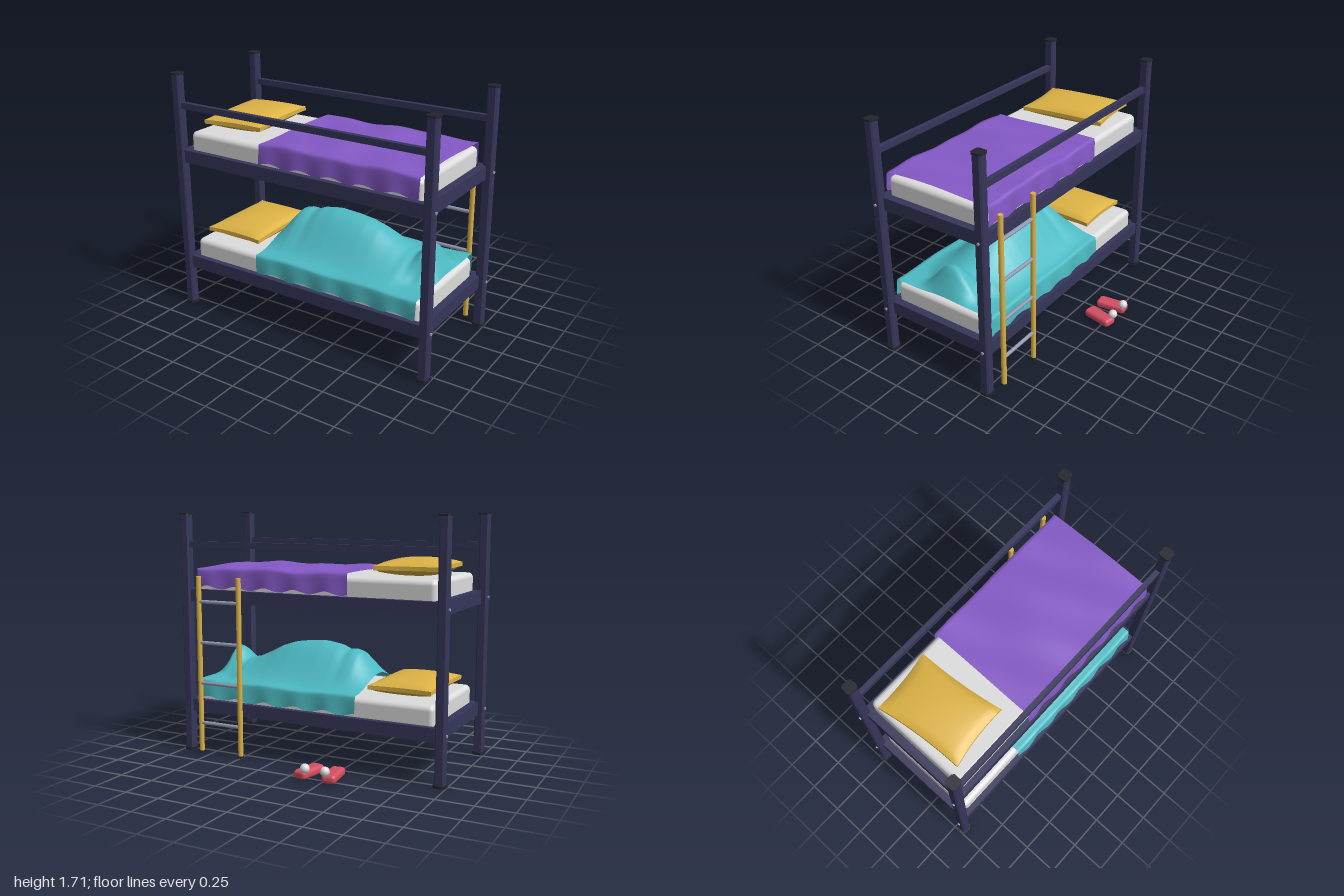
import * as THREE from 'three';
import { RoundedBoxGeometry } from 'three/addons/geometries/RoundedBoxGeometry.js';

const mat = (name, color, side = THREE.FrontSide) => {
  const m = new THREE.MeshStandardMaterial({ color, side });
  m.name = name;
  return m;
};

// z of the bed's middle and half the distance between its posts
const MID = 0.138, HALF = 0.413;

export function createModel() {
  const root = new THREE.Group();
  root.name = 'bunkBed';
  const M = {
    frame: mat('navy frame', 0x36365a),
    cap: mat('dark cap', 0x24242e),
    linen: mat('white linen', 0xdcdcdc),
    gold: mat('golden yellow', 0xdcb245),
    purple: mat('purple blanket', 0x8459c6, THREE.DoubleSide),
    teal: mat('teal blanket', 0x4dbac3, THREE.DoubleSide),
    metal: mat('grey metal', 0x9498b0),
    red: mat('red slipper', 0xd64f62),
  };
  const add = (name, geo, material, x, y, z, parent = root) => {
    const mesh = new THREE.Mesh(geo, material);
    mesh.name = name;
    mesh.position.set(x, y, z);
    parent.add(mesh);
    return mesh;
  };
  const box = (name, w, h, d, material, x, y, z) =>
    add(name, new THREE.BoxGeometry(w, h, d), material, x, y, z);

  // Upright square prism with chamfered corners, standing on its origin
  const chamfered = (w, h, c) => {
    const a = w / 2, b = a - c;
    const pts = [[a, -b], [a, b], [b, a], [-b, a], [-a, b], [-a, -b], [-b, -a], [b, -a]];
    const shape = new THREE.Shape(pts.map(p => new THREE.Vector2(...p)));
    return new THREE.ExtrudeGeometry(shape, { depth: h, bevelEnabled: false }).rotateX(-Math.PI / 2);
  };

  // Posts with caps, feet and bolts
  for (const sx of [-1, 1]) for (const sz of [-1, 1]) {
    const x = sx * 0.957, z = MID + sz * HALF;
    add('post', chamfered(0.066, 1.69, 0.01), M.frame, x, 0.01, z);
    add('postCap', chamfered(0.078, 0.012, 0.014), M.cap, x, 1.698, z);
    add('postFoot', chamfered(0.084, 0.018, 0.02), M.cap, x, 0, z);
    for (const y of [0.335, 1.13]) {
      const bolt = add('bolt', new THREE.CylinderGeometry(0.01, 0.01, 0.012, 10), M.metal, sx * 0.993, y, z);
      bolt.rotation.z = Math.PI / 2;
    }
  }

  // Pillow: a box whose faces bulge and whose sides curve inward
  const pillowGeometry = () => {
    const g = new THREE.BoxGeometry(2, 2, 2, 18, 1, 18), p = g.attributes.position;
    for (let i = 0; i < p.count; i++) {
      const u = p.getX(i), v = p.getZ(i);
      const t = 0.014 + 0.046 * Math.pow((1 - u * u) * (1 - v * v), 0.45);
      p.setXYZ(i, 0.222 * u * (1 - 0.07 * (1 - v * v)), Math.sign(p.getY(i)) * t,
        0.308 * v * (1 - 0.05 * (1 - u * u)));
    }
    g.computeVertexNormals();
    return g;
  };

  // Blanket: a sheet with a shaped top and a wavy flap hanging on each long side
  const blanketGeometry = (x0, x1, base, drop, topY) => {
    const g = new THREE.PlaneGeometry(2, 2, 72, 50), p = g.attributes.position;
    const edge = 0.72, halfW = 0.4;
    for (let i = 0; i < p.count; i++) {
      const x = THREE.MathUtils.lerp(x0, x1, (p.getX(i) + 1) / 2), s = -p.getY(i);
      const side = Math.sign(s), k = Math.max(0, (Math.abs(s) - edge) / (1 - edge));
      const across = side * Math.min(Math.abs(s) / edge, 1) * halfW;
      const hem = drop - 0.012 * (1 + Math.sin(x * 27 + side));
      const wave = 0.008 * k * Math.sin(x * 27 + 1 + side);
      p.setXYZ(i, x, topY(x, across) - k * (topY(x, across) - base + hem),
        MID + across + side * (0.012 * Math.sqrt(k) + wave));
    }
    g.computeVertexNormals();
    return g;
  };

  // Ripples of the flat upper blanket
  const flatTop = (x, z) => 1.327 + 0.006 * Math.sin(9 * x + 5 * z) + 0.004 * Math.sin(17 * x - 8 * z)
    + 0.014 * Math.exp(-(((x - 0.28) / 0.2) ** 2) - (z / 0.3) ** 2);

  // Ridge of the sleeper's shape below the lower blanket
  const ridge = [[-0.355, 0.61], [-0.29, 0.69], [-0.23, 0.755], [-0.18, 0.768], [-0.13, 0.762],
    [-0.07, 0.79], [0.05, 0.81], [0.2, 0.8], [0.3, 0.785], [0.4, 0.752], [0.5, 0.7], [0.6, 0.655],
    [0.68, 0.64], [0.74, 0.71], [0.79, 0.73], [0.82, 0.66], [0.88, 0.535]];
  const ridgeY = x => {
    let i = 1;
    while (i < ridge.length - 1 && ridge[i][0] < x) i++;
    const [a, b] = [ridge[i - 1], ridge[i]];
    return THREE.MathUtils.mapLinear(x, a[0], b[0], a[1], b[1]);
  };
  const bodyTop = (x, z) => {
    const width = 0.38 - 0.12 * THREE.MathUtils.smoothstep(x, 0.62, 0.76);
    const bell = Math.cos(Math.min(1, Math.abs(z + 0.01) / width) * Math.PI / 2) ** 2;
    const low = 0.523 + 0.005 * Math.sin(11 * x + 6 * z);
    return low + (ridgeY(x) - low) * bell;
  };

  // Two bunks: rails, bottom panel, mattress and pillow
  const bunks = [
    { name: 'lower', y: 0.29, pillowX: -0.622, pillowZ: 0.145, turn: 0 },
    { name: 'upper', y: 1.085, pillowX: -0.643, pillowZ: 0.118, turn: 0.1 },
  ];
  for (const { name, y, pillowX, pillowZ, turn } of bunks) {
    for (const s of [-1, 1]) {
      box(name + 'SideRail', 1.87, 0.09, 0.04, M.frame, 0, y + 0.045, MID + s * (HALF - 0.005));
      box(name + 'EndRail', 0.055, 0.092, 0.78, M.frame, s * 0.923, y + 0.046, MID);
    }
    box(name + 'BottomPanel', 1.82, 0.05, 0.8, M.frame, 0, y + 0.027, MID);
    add(name + 'Mattress', new RoundedBoxGeometry(1.785, 0.165, 0.775, 4, 0.035), M.linen, -0.003, y + 0.135, MID);
    add(name + 'Pillow', pillowGeometry(), M.gold, pillowX, y + 0.278, pillowZ).rotation.y = turn;
  }
  add('upperBlanket', blanketGeometry(-0.295, 0.88, 1.18, 0, flatTop), M.purple, 0, 0, 0);
  add('lowerBlanket', blanketGeometry(-0.355, 0.88, 0.385, 0, bodyTop), M.teal, 0, 0, 0);

  // Guard rails along both long sides
  for (const s of [-1, 1]) box('guardRail', 1.87, 0.042, 0.034, M.frame, 0, 1.49, MID + s * HALF);

  // Ladder at the back
  const ladder = new THREE.Group();
  ladder.name = 'ladder';
  root.add(ladder);
  for (const x of [0.505, 0.835]) {
    add('ladderRail', new THREE.CylinderGeometry(0.018, 0.018, 1.26, 12), M.gold, x, 0.64, -0.319, ladder);
    add('ladderFoot', new THREE.CylinderGeometry(0.022, 0.022, 0.014, 12), M.cap, x, 0.007, -0.319, ladder);
  }
  for (let i = 0; i < 4; i++) {
    const rung = add('rung', new THREE.CylinderGeometry(0.013, 0.013, 0.33, 12), M.metal, 0.67, 0.22 + i * 0.291, -0.319, ladder);
    rung.rotation.z = Math.PI / 2;
  }

  // Slippers with pompoms on the toes
  for (const [x, turn, pomX] of [[-0.298, 0.12, -0.285], [-0.12, -0.2, -0.14]]) {
    add('slipper', new RoundedBoxGeometry(0.098, 0.06, 0.222, 3, 0.024), M.red, x, 0.038, -0.464).rotation.y = turn;
    add('pompom', new THREE.SphereGeometry(0.032, 16, 12), M.linen, pomX, 0.086, -0.56);
  }
  return root;
}
